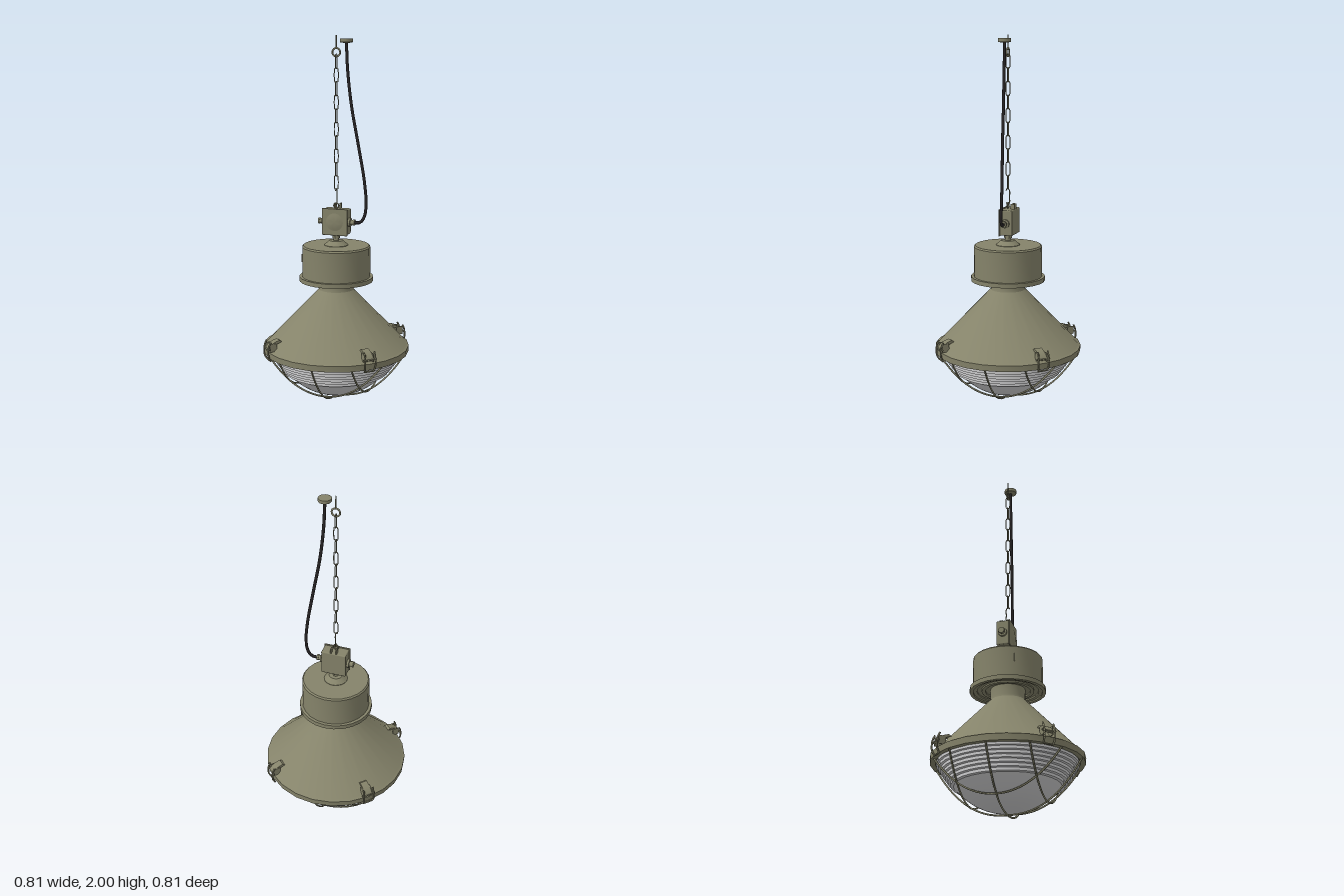
import * as THREE from 'three';
import { toCreasedNormals } from 'three/addons/utils/BufferGeometryUtils.js';
import { RoundedBoxGeometry } from 'three/addons/geometries/RoundedBoxGeometry.js';

const olive = new THREE.MeshStandardMaterial({ color: 0x85836a });
olive.name = 'olive paint';
const rubber = new THREE.MeshStandardMaterial({ color: 0x272425 });
rubber.name = 'black rubber';
const glass = new THREE.MeshStandardMaterial({ color: 0xcbcbcc, side: THREE.DoubleSide });
glass.name = 'pale glass';

function add(parent, name, geometry, material, x = 0, y = 0, z = 0) {
  const mesh = new THREE.Mesh(geometry, material);
  mesh.name = name;
  mesh.position.set(x, y, z);
  parent.add(mesh);
  return mesh;
}

// Turned part: profile of [radius, height] pairs from the bottom up
function turned(profile, segments = 24) {
  const points = profile.map(([r, y]) => new THREE.Vector2(r, y));
  return toCreasedNormals(new THREE.LatheGeometry(points, segments), 0.45);
}

// Round wire through a few points
function wire(points, radius, steps = 24, closed = false, sides = 6) {
  const curve = new THREE.CatmullRomCurve3(points.map((p) => new THREE.Vector3(...p)), closed, 'centripetal');
  return new THREE.TubeGeometry(curve, steps, radius, sides, closed);
}

function cylinder(r1, r2, length, sides = 16) {
  return toCreasedNormals(new THREE.CylinderGeometry(r1, r2, length, sides), 0.5);
}

function addChain(lamp) {
  const chain = new THREE.Group();
  chain.name = 'chain';
  const w = 0.0095, h = 0.037;
  const link = wire([
    [w, h - 0.004, 0], [w * 0.7, h, 0], [-w * 0.7, h, 0], [-w, h - 0.004, 0],
    [-w, 0.004 - h, 0], [-w * 0.7, -h, 0], [w * 0.7, -h, 0], [w, 0.004 - h, 0],
  ], 0.0027, 32, true);
  for (let i = 0; i < 10; i++) {
    const mesh = add(chain, 'chainLink', link, olive, 0, 1.862 - i * 0.0722, 0);
    mesh.rotation.y = i % 2 ? 0 : Math.PI / 2;
  }
  // Open hook joining the chain to the box
  add(chain, 'chainHook', wire([
    [0, 1.165, 0.012], [0, 1.18, 0.002], [0, 1.165, -0.009], [0, 1.13, -0.009],
    [0, 1.1, -0.009], [0, 1.088, 0], [0, 1.1, 0.009],
  ], 0.003), olive);
  lamp.add(chain);

  // Ceiling hook: ring with a threaded shank
  add(lamp, 'ceilingRing', new THREE.TorusGeometry(0.022, 0.005, 8, 20), olive, 0, 1.91, 0);
  add(lamp, 'ceilingShank', cylinder(0.003, 0.004, 0.07, 8), olive, 0, 1.965, 0);
}

function addJunctionBox(lamp) {
  const box = new THREE.Group();
  box.name = 'junctionBox';
  add(box, 'boxBody', new RoundedBoxGeometry(0.14, 0.14, 0.07, 2, 0.006), olive, 0, 0.997, -0.011);
  add(box, 'boxLid', new RoundedBoxGeometry(0.148, 0.148, 0.007, 2, 0.003), olive, 0, 0.997, 0.027);
  const boss = turned([[0.05, 0], [0.043, 0.0015], [0.034, 0.004], [0.02, 0.006], [0, 0.007]]);
  add(box, 'lidBoss', boss, olive, 0, 0.997, 0.0303).rotation.x = Math.PI / 2;

  // Cable glands on both sides
  for (const s of [-1, 1]) {
    const sizes = [[0.024, 0.012, 0.076], [0.014, 0.02, 0.09], [0.017, 0.01, 0.1]];
    for (const [r, length, x] of sizes) {
      add(box, 'cableGland', cylinder(r, r, length, 12), olive, s * x, 0.995, -0.008).rotation.z = Math.PI / 2;
    }
  }
  // Hanging lugs and eye on top
  for (const s of [-1, 1]) {
    add(box, 'hangingLug', new THREE.BoxGeometry(0.007, 0.03, 0.022), olive, s * 0.015, 1.08, -0.033);
  }
  add(box, 'hangingEye', new THREE.TorusGeometry(0.014, 0.004, 8, 16), olive, 0, 1.085, 0);
  lamp.add(box);
}

function addCable(lamp) {
  add(lamp, 'powerCable', wire([
    [0.057, 1.965, 0], [0.064, 1.82, 0], [0.085, 1.63, -0.003], [0.122, 1.42, -0.01],
    [0.155, 1.22, -0.018], [0.165, 1.1, -0.018], [0.157, 1.03, -0.013],
    [0.135, 0.998, -0.01], [0.095, 0.995, -0.008],
  ], 0.0085, 60, false, 8), rubber);
  add(lamp, 'ceilingRose', turned([
    [0, -0.022], [0.016, -0.022], [0.033, -0.019], [0.035, -0.016], [0.035, 0], [0, 0],
  ]), olive, 0.057, 1.981, 0);
}

function addHousing(lamp) {
  add(lamp, 'mountingPost', cylinder(0.016, 0.016, 0.06, 12), olive, 0, 0.905, 0);
  add(lamp, 'mountingNut', cylinder(0.022, 0.022, 0.014, 6), olive, 0, 0.912, 0);
  add(lamp, 'mountingCollar', turned([[0.065, 0.86], [0.065, 0.868], [0.038, 0.892], [0, 0.892]]), olive);
  // Drum with a stepped underside and flange
  add(lamp, 'gearDrum', turned([
    [0.09, 0.685], [0.12, 0.685], [0.12, 0.676], [0.14, 0.676], [0.14, 0.684],
    [0.165, 0.684], [0.165, 0.676], [0.185, 0.676], [0.185, 0.668], [0.204, 0.668],
    [0.204, 0.692], [0.188, 0.692], [0.188, 0.858], [0.181, 0.866], [0, 0.866],
  ]), olive);
  const catchBar = add(lamp, 'drumCatch', new THREE.BoxGeometry(0.008, 0.045, 0.008), olive, -0.166, 0.797, 0.086);
  catchBar.rotation.y = Math.atan2(-0.166, 0.086);

  // Shade: neck, cone and rim, with its inner face turned down
  add(lamp, 'shade', turned([
    [0.355, 0.3], [0.375, 0.27], [0.403, 0.27], [0.405, 0.303], [0.39, 0.31],
    [0.096, 0.618], [0.093, 0.63], [0.093, 0.69],
  ]), olive);
}

function addGlass(lamp) {
  // Bowl radius at a given height
  const radius = (y) => 0.37 * ((y - 0.024) / 0.25) ** (1 / 2.4);
  const profile = [[0, 0.024]];
  for (let i = 1; i <= 10; i++) {
    const y = 0.024 + 0.126 * (i / 10) ** 2.4;
    profile.push([radius(y), y]);
  }
  // Stepped ribs on the upper part
  const ribs = 7;
  for (let i = 1; i <= ribs; i++) {
    const y = 0.15 + (0.124 * i) / ribs;
    const r = radius(y);
    profile.push([r, y - 0.015], [r, y]);
  }
  add(lamp, 'ribbedGlass', turned(profile, 32), glass);
}

function addCage(lamp) {
  const cage = new THREE.Group();
  cage.name = 'guardCage';
  const R = 0.392;
  // Three bowed wires each way, crossing as a lattice
  for (const offset of [-0.205, 0, 0.205]) {
    const reach = Math.sqrt(R * R - offset * offset);
    const points = [];
    for (let i = 0; i <= 16; i++) {
      const t = reach * (i / 8 - 1);
      points.push([offset, 0.006 + 0.268 * (Math.hypot(t, offset) / R) ** 2.4, t]);
    }
    const bar = wire(points, 0.005, 40);
    add(cage, 'cageWire', bar, olive);
    add(cage, 'cageWire', bar, olive).rotation.y = Math.PI / 2;
  }
  lamp.add(cage);
}

// Toggle latch, built facing +z
function makeLatch() {
  const latch = new THREE.Group();
  latch.name = 'rimLatch';
  // Curved lever lying against the cone
  const lever = new THREE.Shape();
  lever.moveTo(0.335, 0.363);
  lever.lineTo(0.35, 0.372);
  lever.quadraticCurveTo(0.4, 0.362, 0.418, 0.325);
  lever.lineTo(0.408, 0.32);
  lever.quadraticCurveTo(0.39, 0.345, 0.335, 0.363);
  const leverShape = new THREE.ExtrudeGeometry(lever, { depth: 0.042, bevelEnabled: false, curveSegments: 6 });
  leverShape.rotateY(-Math.PI / 2);
  add(latch, 'latchLever', toCreasedNormals(leverShape, 0.5), olive, 0.021, 0, 0);
  // Bail wire hooked under the rim
  for (const s of [-1, 1]) {
    add(latch, 'latchBail', wire([
      [s * 0.03, 0.37, 0.404], [s * 0.03, 0.34, 0.417], [s * 0.03, 0.29, 0.418], [s * 0.026, 0.262, 0.404],
    ], 0.005, 12), olive);
    add(latch, 'latchCheek', new THREE.BoxGeometry(0.005, 0.045, 0.04), olive, s * 0.024, 0.335, 0.388);
  }
  for (const [y, z, length] of [[0.264, 0.405, 0.055], [0.33, 0.412, 0.078]]) {
    add(latch, 'latchPin', cylinder(0.005, 0.005, length, 8), olive, 0, y, z).rotation.z = Math.PI / 2;
  }
  return latch;
}

export function createModel() {
  const lamp = new THREE.Group();
  lamp.name = 'pendantLamp';
  addChain(lamp);
  addCable(lamp);
  addJunctionBox(lamp);
  addHousing(lamp);
  addGlass(lamp);
  addCage(lamp);
  for (let i = 0; i < 4; i++) {
    const latch = makeLatch();
    latch.rotation.y = Math.PI / 4 + (i * Math.PI) / 2;
    lamp.add(latch);
  }
  return lamp;
}
